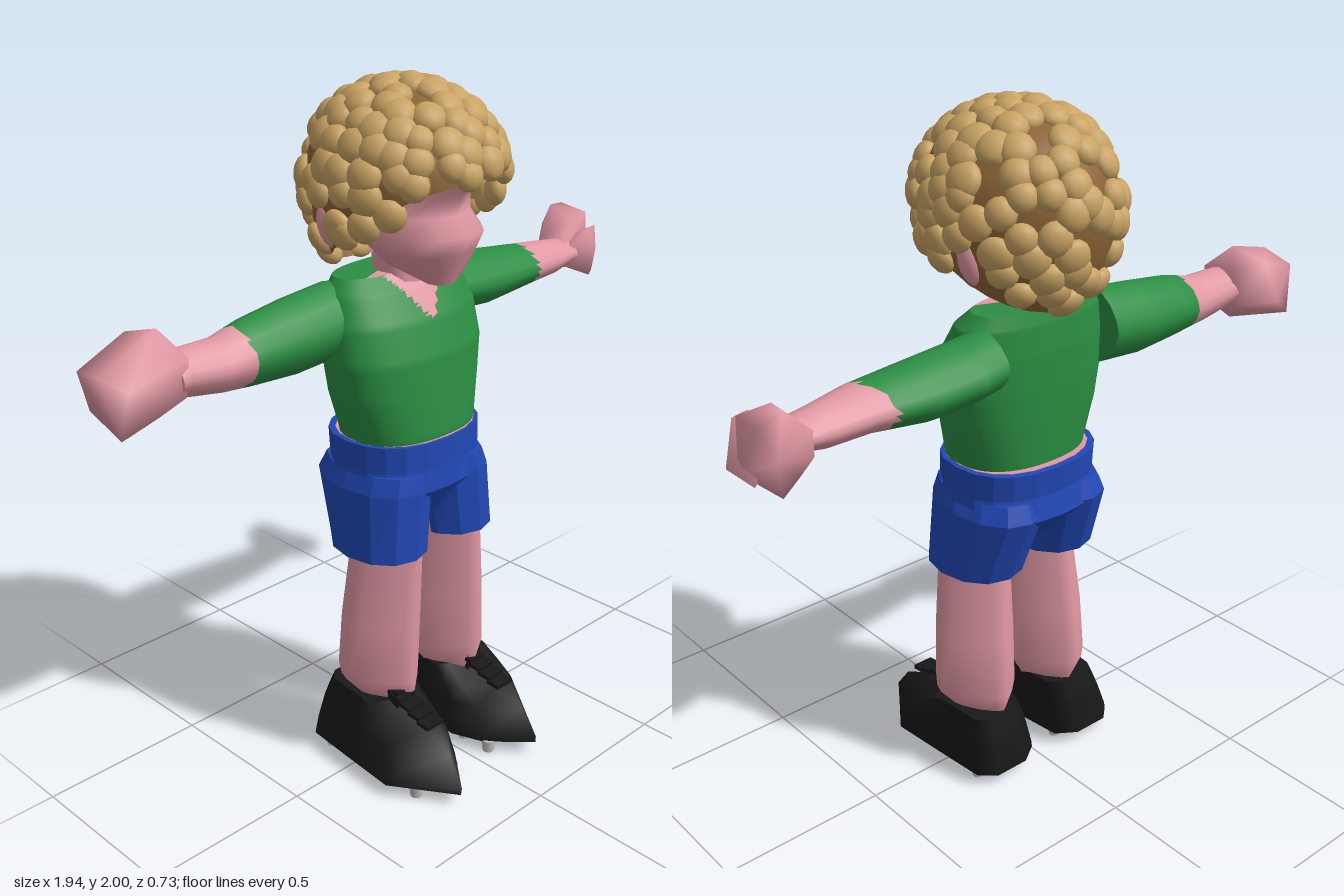
import * as THREE from 'three';
import { ConvexGeometry } from 'three/addons/geometries/ConvexGeometry.js';
import { mergeVertices } from 'three/addons/utils/BufferGeometryUtils.js';

const material = (name, color) => {
  const m = new THREE.MeshStandardMaterial({ color });
  m.name = name;
  return m;
};

// Joins closed rings of [x, y, z] points with capped ends; rule(x, y, z) picks material 0 or 1.
function skin(rings, { flat = false, rule = () => 0 } = {}) {
  const n = rings[0].length;
  const pos = rings.flat(2);
  const lists = [[], []];
  const add = (...tri) => {
    const c = [0, 1, 2].map((k) => (pos[tri[0] * 3 + k] + pos[tri[1] * 3 + k] + pos[tri[2] * 3 + k]) / 3);
    lists[rule(...c)].push(...tri);
  };
  for (let r = 0; r < rings.length - 1; r++) {
    for (let j = 0; j < n; j++) {
      const a = r * n + j, b = r * n + (j + 1) % n;
      add(a, a + n, b);
      add(b, a + n, b + n);
    }
  }
  [rings[0], rings[rings.length - 1]].forEach((ring, top) => {
    const base = pos.length / 3;
    pos.push(...ring.flat(), ...[0, 1, 2].map((k) => ring.reduce((s, p) => s + p[k], 0) / n));
    for (let j = 0; j < n; j++) {
      const a = base + j, b = base + (j + 1) % n;
      top ? add(a, base + n, b) : add(a, b, base + n);
    }
  });
  let geo = new THREE.BufferGeometry();
  geo.setAttribute('position', new THREE.Float32BufferAttribute(pos, 3));
  geo.setIndex([...lists[0], ...lists[1]]);
  geo.addGroup(0, lists[0].length, 0);
  if (lists[1].length) geo.addGroup(lists[0].length, lists[1].length, 1);
  if (flat) geo = geo.toNonIndexed();
  geo.computeVertexNormals();
  return geo;
}

// Cross-sections [y, x0, x1, z0, z1] along y, or [x, z0, z1, y0, y1] along x.
// A power below 1 makes them boxier, above 1 more like a diamond.
function loft(sections, { axis = 'y', n = 16, power = 0.8, sub = 1, ...opts } = {}) {
  const rows = [];
  sections.forEach((s, i) => {
    const next = sections[i + 1];
    if (!next) return rows.push(s);
    for (let k = 0; k < sub; k++) rows.push(s.map((v, q) => v + (next[q] - v) * k / sub));
  });
  const bend = (v) => Math.sign(v) * Math.abs(v) ** power;
  const rings = rows.map(([t, u0, u1, v0, v1]) => Array.from({ length: n }, (_, j) => {
    const a = (j / n) * Math.PI * 2;
    const u = (u0 + u1) / 2 + (u1 - u0) / 2 * bend(Math.cos(a));
    const v = (v0 + v1) / 2 + (v1 - v0) / 2 * bend(Math.sin(a));
    return axis === 'y' ? [u, t, v] : [t, v, u];
  }));
  return skin(rings, opts);
}

// Smooth-shaded lump around a few corner points
function lump(points) {
  const geo = new ConvexGeometry(points.map((p) => new THREE.Vector3(...p)));
  geo.deleteAttribute('normal');
  const merged = mergeVertices(geo, 1e-4);
  merged.computeVertexNormals();
  return merged;
}

export function createModel() {
  const root = new THREE.Group();
  const skinMat = material('skin', 0xe198a3);
  const green = material('shirt green', 0x2b8e43);
  const blue = material('shorts blue', 0x2148b6);
  const curlMat = material('curl blond', 0xc9a364);
  const scalpMat = material('hair brown', 0x8c6436);
  scalpMat.side = THREE.DoubleSide;
  const black = material('boot black', 0x181818);
  const grey = material('stud grey', 0xc0c0c0);
  const add = (name, geo, mat, parent = root) => {
    const m = new THREE.Mesh(geo, mat);
    m.name = name;
    parent.add(m);
    return m;
  };

  // Shirt body with a bare V at the neck
  add('torso', loft([
    [0.97, -0.195, 0.195, -0.2, 0.1], [1.03, -0.205, 0.21, -0.205, 0.107], [1.15, -0.24, 0.24, -0.212, 0.095],
    [1.25, -0.255, 0.26, -0.215, 0.085], [1.35, -0.25, 0.26, -0.215, 0.05], [1.43, -0.225, 0.24, -0.21, 0],
    [1.47, -0.19, 0.2, -0.2, -0.04],
  ], { n: 96, sub: 9, power: 0.85, rule: (x, y, z) => (z > -0.13 && Math.abs(x - 0.01) < (y - 1.343) * 0.78 ? 1 : 0) }),
  [green, skinMat]);

  // Arms: sleeve and bare forearm in one surface
  const arm = { axis: 'x', n: 16, sub: 8, power: 1.2 };
  add('rightArm', loft([
    [-0.75, -0.21, -0.06, 1.28, 1.39], [-0.72, -0.205, -0.065, 1.27, 1.4], [-0.6, -0.215, -0.055, 1.25, 1.4],
    [-0.5, -0.23, -0.045, 1.24, 1.425], [-0.35, -0.245, -0.04, 1.23, 1.445], [-0.2, -0.245, -0.04, 1.24, 1.46],
  ], { ...arm, rule: (x, y, z) => (x < -0.54 + (z + 0.14) * 0.15 ? 1 : 0) }), [green, skinMat]);
  add('leftArm', loft([
    [0.2, -0.26, -0.05, 1.27, 1.44], [0.28, -0.27, -0.045, 1.26, 1.43], [0.42, -0.265, -0.05, 1.25, 1.42],
    [0.6, -0.245, -0.06, 1.27, 1.4], [0.72, -0.235, -0.085, 1.27, 1.385], [0.82, -0.23, -0.1, 1.29, 1.37],
  ], { ...arm, rule: (x, y, z) => (x > 0.59 + Math.min(0, z + 0.17) * 0.6 ? 1 : 0) }), [green, skinMat]);

  // Fists
  add('rightHand', lump([
    [-0.97, 1.4, -0.1], [-0.95, 1.38, -0.22], [-0.9, 1.25, -0.26], [-0.93, 1.23, -0.08], [-0.76, 1.46, -0.15],
    [-0.78, 1.43, -0.26], [-0.72, 1.4, -0.19], [-0.72, 1.39, -0.08], [-0.73, 1.29, -0.08], [-0.73, 1.29, -0.2],
    [-0.78, 1.23, -0.14], [-0.83, 1.34, -0.04], [-0.92, 1.36, -0.05], [-0.84, 1.3, -0.27],
  ]), skinMat);
  add('leftHand', lump([
    [0.78, 1.29, -0.23], [0.78, 1.36, -0.23], [0.78, 1.36, -0.13], [0.78, 1.29, -0.13], [0.83, 1.4, -0.26],
    [0.85, 1.43, -0.17], [0.88, 1.45, -0.27], [0.96, 1.44, -0.29], [0.95, 1.43, -0.18], [0.94, 1.36, -0.33],
    [0.91, 1.25, -0.295], [0.84, 1.27, -0.26], [0.95, 1.28, -0.17], [0.87, 1.27, -0.14],
  ]), skinMat);
  add('leftThumb', lump([
    [0.79, 1.29, -0.12], [0.8, 1.36, -0.12], [0.88, 1.25, -0.1], [0.93, 1.25, -0.13], [0.97, 1.29, -0.15],
    [0.93, 1.4, -0.125], [0.88, 1.4, -0.11], [0.89, 1.34, -0.085], [0.95, 1.27, -0.24], [0.88, 1.36, -0.2],
  ]), skinMat);

  // Shorts: waistband, hips and two flared legs
  add('waistband', loft([[0.94, -0.22, 0.225, -0.238, 0.122], [1.018, -0.22, 0.225, -0.245, 0.122]],
    { n: 20, power: 0.85, flat: true }), blue);
  add('waist', loft([[1.01, -0.205, 0.21, -0.225, 0.112], [1.0195, -0.205, 0.21, -0.225, 0.112]],
    { n: 20, power: 0.85 }), skinMat);
  add('hips', loft([
    [0.76, -0.1, 0.1, -0.15, 0.05], [0.87, -0.235, 0.235, -0.25, 0.124], [0.945, -0.215, 0.22, -0.235, 0.118],
  ], { n: 20, power: 0.85, flat: true }), blue);
  for (const s of [-1, 1]) {
    const side = s < 0 ? 'right' : 'left';
    const span = (inner, outer) => (s < 0 ? [-outer, -inner] : [inner, outer]);
    add(side + 'ShortsLeg', loft([
      [0.68, ...span(0.012, 0.256), -0.18, 0.125], [0.88, ...span(-0.012, 0.242), -0.252, 0.125],
      [0.93, ...span(0, 0.218), -0.23, 0.116],
    ], { n: 12, power: 0.95, flat: true }), blue);

    // Bare leg, slightly diamond-shaped in section
    add(side + 'Leg', loft([
      [0.18, ...span(0.06, 0.2), -0.14, 0.09], [0.22, ...span(0.045, 0.22), -0.155, 0.108],
      [0.28, ...span(0.01, 0.27), -0.178, 0.118], [0.45, ...span(0.006, 0.262), -0.165, 0.12],
      [0.74, ...span(0.006, 0.23), -0.13, 0.12],
    ], { n: 16, power: 1.45 }), skinMat);

    // Boot: a pointed sole outline shrinking towards the ankle
    const boot = new THREE.Group();
    boot.name = side + 'Boot';
    boot.position.set(s < 0 ? -0.18 : 0.135, 0, 0);
    root.add(boot);
    const lean = s < 0 ? 0.032 : 0.01;
    const outline = [[0.12, 0], [0.135, 0.18], [0.015, s < 0 ? 0.365 : 0.35], [-0.095, 0.235], [-0.13, 0.14],
      [-0.13, 0], [-0.11, -0.16], [-0.05, -0.2], [0.06, -0.2], [0.105, -0.16]];
    const levels = [[0.035, 1, 1, 1], [0.055, 0.99, 1, 1], [0.13, 0.89, 0.83, 0.95], [0.17, 0.83, 0.56, 0.9],
      [0.215, 0.76, 0.22, 0.83]];
    const rings = levels.map(([y, w, front, back]) => {
      const shift = lean * (y - 0.035) / 0.18;
      const ring = outline.map(([x, d]) => [s * x * w + shift, y, d * (d > 0 ? front : back)]);
      return s < 0 ? ring.reverse() : ring;
    });
    add('upper', skin(rings), black, boot);
    for (let i = 0; i < 5; i++) {
      const lace = add('lace', new THREE.BoxGeometry(0.065, 0.012, 0.045), black, boot);
      lace.position.set(lean * 0.6, 0.248 - i * 0.014, 0.055 + i * 0.038);
      lace.rotation.x = 0.1;
    }
    add('tongue', new THREE.BoxGeometry(0.055, 0.06, 0.04), black, boot).position.set(lean * 0.6, 0.222, 0.08);
    for (const d of [-0.12, 0.14, 0.24]) {
      for (const x of [-0.075, 0.07]) {
        add('stud', new THREE.CylinderGeometry(0.021, 0.018, 0.038, 10), grey, boot).position.set(s * x, 0.019, d);
      }
    }

    // Ear
    const ear = add(side + 'Ear', new THREE.SphereGeometry(1, 10, 8), skinMat);
    ear.scale.set(0.035, 0.07, 0.036);
    ear.position.set(s * 0.21 + 0.005, 1.62, -0.125);
    ear.rotation.z = -s * 0.25;
  }

  // Neck and head, narrowing to a brow under the fringe
  add('neck', loft([[1.36, -0.06, 0.08, -0.15, -0.01], [1.52, -0.07, 0.085, -0.15, -0.01]], { n: 12 }), skinMat);
  add('head', loft([
    [1.46, -0.035, 0.055, 0.03, 0.115], [1.5, -0.085, 0.105, -0.1, 0.135], [1.55, -0.13, 0.145, -0.15, 0.158],
    [1.6, -0.15, 0.165, -0.18, 0.18], [1.65, -0.138, 0.152, -0.2, 0.135], [1.7, -0.115, 0.125, -0.21, 0.15],
    [1.75, -0.09, 0.1, -0.21, 0.2],
  ], { n: 12, power: 0.95 }), skinMat);

  // Hair: a dome tilted back, longer at the nape, dotted with flattened curls
  const tilt = new THREE.Euler(-0.49, 0, 0);
  const onDome = (v, k) => {
    v.applyEuler(tilt);
    return v.set(v.x * 0.252 * k + 0.005, 1.73 + v.y * (v.y > 0 ? 0.24 : 0.34) * k, v.z * 0.28 * k - 0.06);
  };
  const dome = new THREE.SphereGeometry(1, 28, 18, 0, Math.PI * 2, 0, Math.PI * 0.62);
  const p = dome.attributes.position;
  const v = new THREE.Vector3();
  for (let i = 0; i < p.count; i++) {
    onDome(v.fromBufferAttribute(p, i), 1);
    p.setXYZ(i, v.x, v.y, v.z);
  }
  dome.computeVertexNormals();
  add('scalp', dome, scalpMat);

  let seed = 7;
  const random = () => (seed = (seed * 16807) % 2147483647) / 2147483647;
  const curls = new THREE.Group();
  curls.name = 'curls';
  root.add(curls);
  const curlGeo = new THREE.SphereGeometry(0.046, 12, 8);
  const addCurl = (c, size) => {
    const curl = add('curl', curlGeo, curlMat, curls);
    curl.position.copy(c);
    curl.lookAt(c.clone().multiplyScalar(2).sub(new THREE.Vector3(0.005, 1.71, -0.06)));
    curl.scale.set(size, size, 0.68);
  };
  const total = 132, lowest = Math.cos(Math.PI * 0.6);
  for (let i = 0; i < total; i++) {
    const h = 1 - (1 - lowest) * (i + 0.5) / total;
    const a = i * 2.39996 + (random() - 0.5) * 0.2, r = Math.sqrt(1 - h * h);
    const c = onDome(new THREE.Vector3(r * Math.cos(a), h, r * Math.sin(a)), 1);
    const size = 0.9 + random() * 0.22;
    // Sparser at the upper back, and open around the ears
    const bare = random() < (c.z < -0.18 && c.y > 1.66 ? 0.36 : 0.03);
    const byEar = Math.abs(c.x) > 0.15 && Math.abs(c.z + 0.125) < 0.06 && c.y < 1.68;
    if (!bare && !byEar) addCurl(c, size);
  }
  // Curls hanging at the temples
  for (const s of [-1, 1]) {
    for (const [x, y, z] of [[0.2, 1.68, 0.09], [0.235, 1.645, 0.03], [0.24, 1.615, -0.04]]) {
      addCurl(new THREE.Vector3(s * x + 0.005, y, z), 1);
    }
  }
  return root;
}
